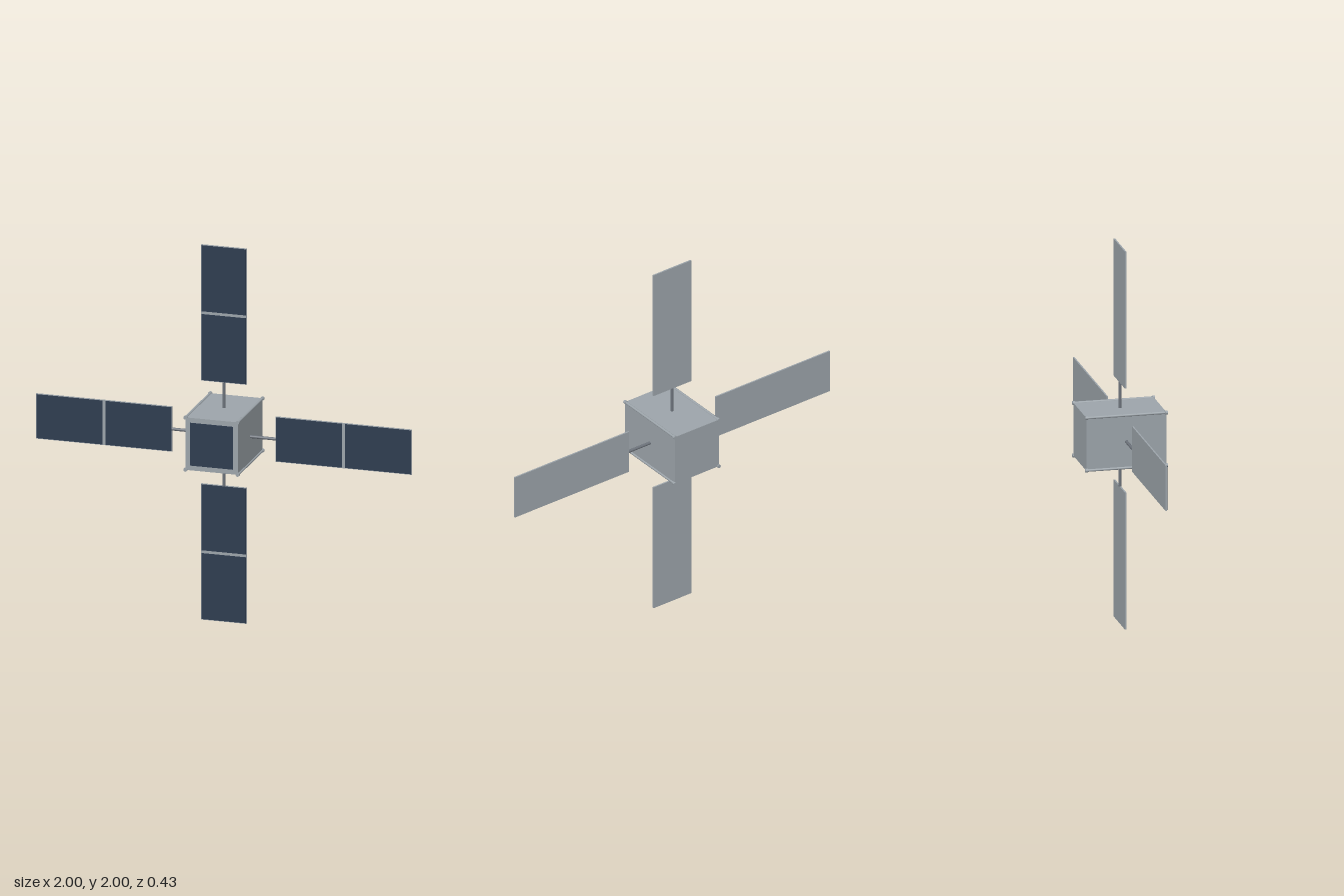
import * as THREE from 'three';

export function createModel() {
  const model = new THREE.Group();
  model.name = 'satellite';
  const silver = new THREE.MeshStandardMaterial({ color: 0x9ca4aa });
  silver.name = 'silver grey';
  const cellBlue = new THREE.MeshStandardMaterial({ color: 0x2d3b4f });
  cellBlue.name = 'solar cell navy';
  const strutGrey = new THREE.MeshStandardMaterial({ color: 0x6c727a });
  strutGrey.name = 'strut grey';

  const add = (parent, name, geometry, material, x = 0, y = 0, z = 0) => {
    const mesh = new THREE.Mesh(geometry, material);
    mesh.name = name;
    mesh.position.set(x, y, z);
    parent.add(mesh);
    return mesh;
  };

  // Bus: box with a solar plate on the front
  const bus = new THREE.Group();
  bus.name = 'bus';
  bus.position.y = 1;
  model.add(bus);
  add(bus, 'busBody', new THREE.BoxGeometry(0.28, 0.28, 0.42), silver);
  add(bus, 'frontSolarPlate', new THREE.BoxGeometry(0.228, 0.228, 0.004), cellBlue, 0, 0, 0.211);

  // Corner rails with round feet at both ends
  const railGeometry = new THREE.CylinderGeometry(0.007, 0.007, 0.42, 12).rotateX(Math.PI / 2);
  const footGeometry = new THREE.CylinderGeometry(0.01, 0.01, 0.014, 12).rotateX(Math.PI / 2);
  for (const x of [-0.139, 0.139]) {
    for (const y of [-0.139, 0.139]) {
      add(bus, 'cornerRail', railGeometry, silver, x, y, 0);
      for (const z of [-0.208, 0.208]) add(bus, 'railFoot', footGeometry, silver, x, y, z);
    }
  }

  // Four wings, each built along +y and turned about the bus
  const strutGeometry = new THREE.CylinderGeometry(0.008, 0.008, 0.14, 12);
  const panelGeometry = new THREE.BoxGeometry(0.24, 0.725, 0.008);
  const cellGeometry = new THREE.BoxGeometry(0.234, 0.352, 0.002);
  ['top', 'left', 'bottom', 'right'].forEach((side, i) => {
    const wing = new THREE.Group();
    wing.name = side + 'Wing';
    wing.position.y = 1;
    wing.rotation.z = -i * Math.PI / 2;
    model.add(wing);
    add(wing, 'strut', strutGeometry, strutGrey, 0, 0.207, 0);
    add(wing, 'panelFrame', panelGeometry, silver, 0, 0.6375, 0);
    for (const y of [0.454, 0.821]) add(wing, 'solarCells', cellGeometry, cellBlue, 0, y, 0.0045);
  });

  return model;
}
